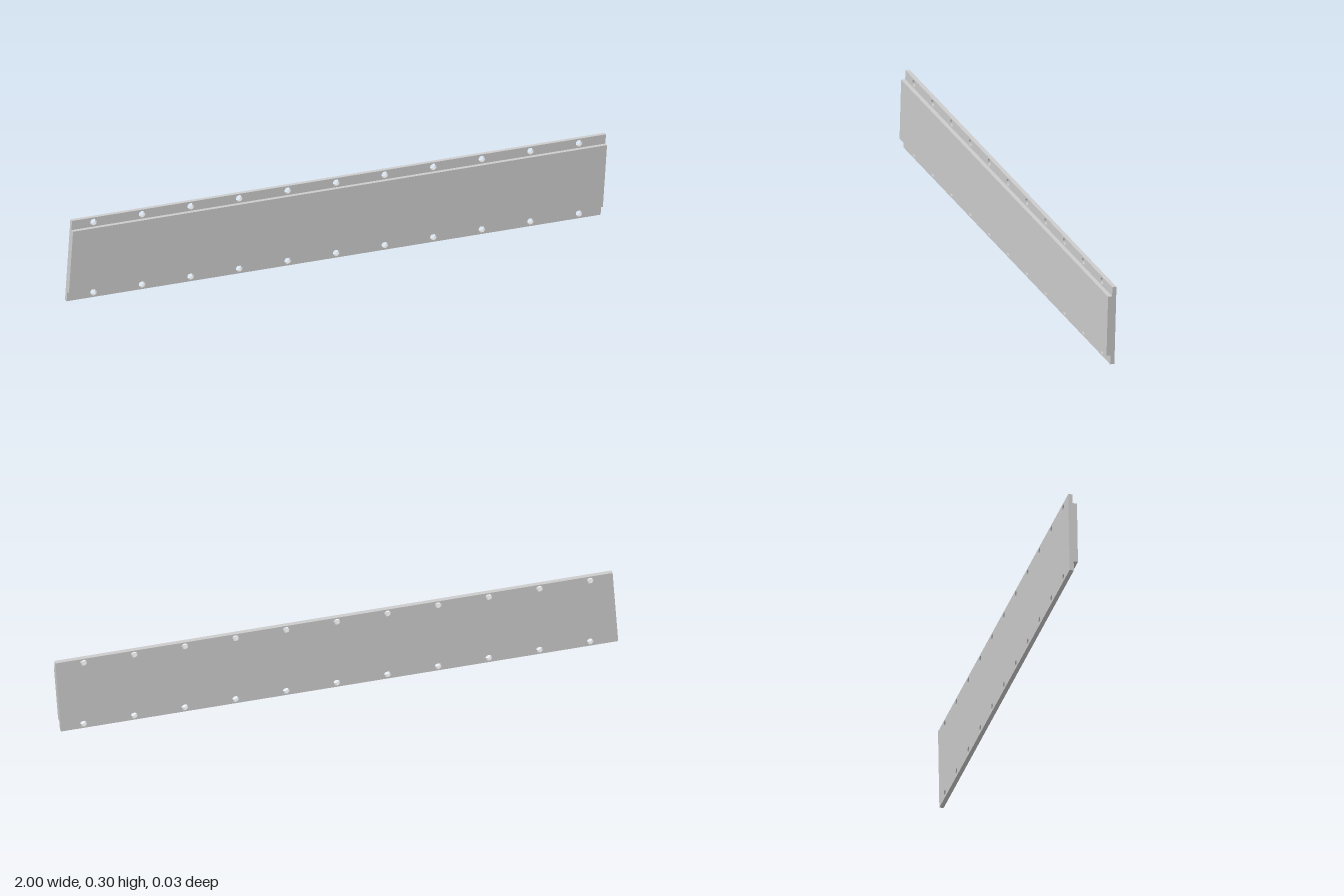
import * as THREE from 'three';

const HEIGHT = 0.297, DEPTH = 0.015, SLANT = 0.02;

// Slanted strip between two heights, following the leaning ends
function slantedShape(y0, y1) {
  const lean = y => SLANT * y / HEIGHT;
  return new THREE.Shape([
    new THREE.Vector2(-1 + lean(y0), y0),
    new THREE.Vector2(1 - SLANT + lean(y0), y0),
    new THREE.Vector2(1 - SLANT + lean(y1), y1),
    new THREE.Vector2(-1 + lean(y1), y1),
  ]);
}

function addPlate(group, name, shape, z) {
  const geometry = new THREE.ExtrudeGeometry(shape, { depth: DEPTH, bevelEnabled: false, curveSegments: 24 });
  const mesh = new THREE.Mesh(geometry, new THREE.MeshStandardMaterial({ color: 0xcccccc }));
  mesh.name = name;
  mesh.position.z = z;
  group.add(mesh);
}

export function createModel() {
  const group = new THREE.Group();
  group.name = 'mountingPanel';

  // Back plate with a row of screw holes along each long edge
  const back = slantedShape(0, HEIGHT);
  for (const y of [0.018, 0.28]) {
    for (let i = -5; i <= 5; i++) {
      back.holes.push(new THREE.Path().absarc(i * 0.18, y, 0.012, 0, Math.PI * 2, true));
    }
  }
  addPlate(group, 'backPlate', back, -DEPTH);

  // Raised front panel between the two flanges
  addPlate(group, 'raisedPanel', slantedShape(0.035, 0.263), 0);

  return group;
}
